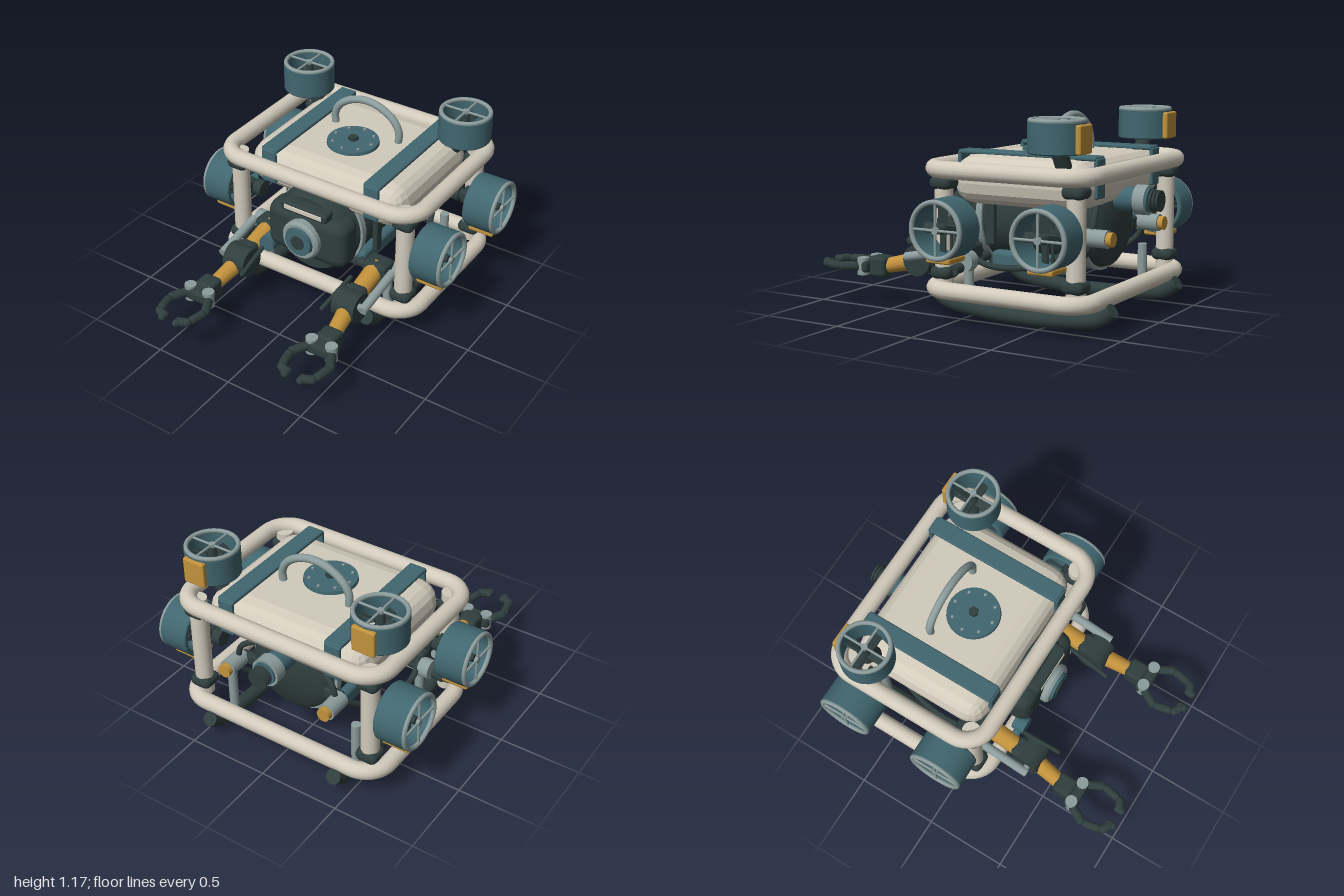
import * as THREE from 'three';
import { toCreasedNormals } from 'three/addons/utils/BufferGeometryUtils.js';
import { RoundedBoxGeometry } from 'three/addons/geometries/RoundedBoxGeometry.js';

const paint = (name, color) => {
  const m = new THREE.MeshStandardMaterial({ color });
  m.name = name;
  return m;
};
const V = (x, y, z) => new THREE.Vector3(x, y, z);

export function createModel() {
  const cream = paint('cream', 0xd2cbbc);
  const teal = paint('teal', 0x41666f);
  const dark = paint('dark', 0x303e3e);
  const grey = paint('grey', 0x8b9b9b);
  const amber = paint('amber', 0xc2923c);

  const model = new THREE.Group();
  model.name = 'underwaterVehicle';

  const add = (parent, name, geo, mat, x = 0, y = 0, z = 0) => {
    const m = new THREE.Mesh(geo, mat);
    m.name = name;
    m.position.set(x, y, z);
    parent.add(m);
    return m;
  };
  const group = (name) => {
    const g = new THREE.Group();
    g.name = name;
    model.add(g);
    return g;
  };
  const box = (p, name, mat, w, h, d, x, y, z, r = 0.015) =>
    add(p, name, new RoundedBoxGeometry(w, h, d, 2, r), mat, x, y, z);
  // straight round bar between two points; the radius may taper
  const align = (m, a, b) => {
    m.position.copy(a).add(b).multiplyScalar(0.5);
    m.quaternion.setFromUnitVectors(V(0, 1, 0), b.clone().sub(a).normalize());
    return m;
  };
  const rod = (p, name, mat, a, b, r, r2 = r, sides = 24) =>
    align(add(p, name, new THREE.CylinderGeometry(r2, r, a.distanceTo(b), sides), mat), a, b);
  const capsule = (p, name, mat, a, b, r) =>
    align(add(p, name, new THREE.CapsuleGeometry(r, a.distanceTo(b), 5, 12), mat), a, b);
  const tube = (p, name, mat, pts, r, closed = false, seg = 48) =>
    add(p, name, new THREE.TubeGeometry(new THREE.CatmullRomCurve3(pts, closed), seg, r, 14, closed), mat);
  const lathe = (pts, seg = 40) => toCreasedNormals(
    new THREE.LatheGeometry(pts.map(([r, y]) => new THREE.Vector2(r, y)), seg), 0.6);

  // Tubular frame: two rounded loops joined by four posts
  const frame = group('frame');
  const loop = new THREE.Shape();
  const hx = 0.66, z0 = -0.85, z1 = 0.14, cr = 0.15;
  loop.absarc(hx - cr, z1 - cr, cr, 0, Math.PI / 2);
  loop.absarc(-hx + cr, z1 - cr, cr, Math.PI / 2, Math.PI);
  loop.absarc(-hx + cr, z0 + cr, cr, Math.PI, Math.PI * 1.5);
  loop.absarc(hx - cr, z0 + cr, cr, Math.PI * 1.5, Math.PI * 2);
  loop.closePath();
  const loopPts = loop.getSpacedPoints(120).slice(0, -1);
  for (const [name, y] of [['upperRail', 0.87], ['lowerRail', 0.195]])
    tube(frame, name, cream, loopPts.map((p) => V(p.x, y, p.y)), 0.05, true, 180);
  for (const s of [-1, 1]) for (const z of [0.06, -0.77]) {
    rod(frame, 'post', cream, V(s * 0.58, 0.2, z), V(s * 0.58, 0.87, z), 0.053);
    for (const y of [0.285, 0.79])
      box(frame, 'postClamp', dark, 0.135, 0.075, 0.135, s * 0.58, y, z, 0.035);
  }

  // Curved skids with short struts
  for (const s of [-1, 1]) {
    const pts = [[0.23, 0.15], [0.14, 0.09], [-0.08, 0.056], [-0.35, 0.046],
      [-0.62, 0.056], [-0.84, 0.09], [-0.92, 0.145]].map(([z, y]) => V(s * 0.435, y, z));
    tube(frame, 'skid', dark, pts, 0.045);
    rod(frame, 'skidEnd', dark, pts[1], pts[0], 0.0445);
    rod(frame, 'skidEnd', dark, pts[5], pts[6], 0.0445);
    for (const z of [-0.01, -0.69])
      rod(frame, 'skidStrut', grey, V(s * 0.435, 0.07, z), V(s * 0.435, 0.36, z), 0.028);
    rod(frame, 'crossBar', dark, V(s * 0.24, 0.33, -0.01), V(s * 0.6, 0.3, -0.01), 0.03);
  }

  // Buoyancy block with faceted edges, straps, hatch and handle
  const float = group('float');
  const block = new RoundedBoxGeometry(1.07, 0.28, 0.86, 2, 0.125);
  block.computeVertexNormals();
  add(float, 'floatBlock', block, cream, 0, 0.8, -0.36);
  for (const s of [-1, 1]) {
    box(float, 'strapTop', teal, 0.11, 0.025, 0.87, s * 0.355, 0.948, -0.36, 0.01);
    for (const z of [0.072, -0.792])
      box(float, 'strapEnd', teal, 0.1, 0.22, 0.025, s * 0.355, 0.84, z, 0.01);
  }
  add(float, 'hatch', new THREE.CylinderGeometry(0.155, 0.16, 0.03, 40), teal, 0, 0.945, -0.29);
  add(float, 'hatchBolt', new THREE.CylinderGeometry(0.03, 0.03, 0.03, 6), dark, 0, 0.965, -0.29);
  for (let i = 0; i < 8; i++) {
    const a = (i / 8) * Math.PI * 2;
    add(float, 'hatchScrew', new THREE.CylinderGeometry(0.009, 0.009, 0.012, 8), grey,
      Math.cos(a) * 0.125, 0.963, -0.29 + Math.sin(a) * 0.125);
  }
  tube(float, 'liftHandle', grey, [[-0.22, 0.92], [-0.225, 1.0], [-0.19, 1.07], [-0.1, 1.13], [0, 1.15],
    [0.1, 1.13], [0.19, 1.07], [0.225, 1.0], [0.22, 0.92]].map(([x, y]) => V(x, y, -0.44)), 0.023);

  // Pressure hull
  const hull = group('pressureHull');
  const body = add(hull, 'hullCylinder', lathe([[0, -0.74], [0.2, -0.73], [0.255, -0.69], [0.27, -0.64],
    [0.27, 0.13], [0.24, 0.18], [0, 0.18]]), dark, 0, 0.555, 0);
  body.rotation.x = Math.PI / 2;
  for (const z of [0.02, -0.63])
    rod(hull, 'hullBand', grey, V(0, 0.555, z - 0.02), V(0, 0.555, z + 0.02), 0.285, 0.285, 48);
  box(hull, 'batteryTray', teal, 0.5, 0.11, 0.52, 0, 0.31, -0.3, 0.03);
  for (const s of [-1, 1]) {
    box(hull, 'trayLatch', dark, 0.12, 0.05, 0.05, s * 0.18, 0.3, -0.04);
    box(hull, 'hullBracket', dark, 0.035, 0.3, 0.06, s * 0.31, 0.56, -0.08, 0.01);
    rod(hull, 'rearPlug', grey, V(s * 0.34, 0.51, -0.7), V(s * 0.34, 0.51, -0.84), 0.05);
    rod(hull, 'rearPlugCap', amber, V(s * 0.34, 0.51, -0.83), V(s * 0.34, 0.51, -0.872), 0.04);
    box(hull, 'plugBracket', dark, 0.12, 0.07, 0.05, s * 0.29, 0.51, -0.69);
    tube(hull, 'sideHose', dark, [V(s * 0.42, 0.4, 0.02), V(s * 0.46, 0.33, -0.12), V(s * 0.46, 0.32, -0.32),
      V(s * 0.42, 0.37, -0.52), V(s * 0.36, 0.5, -0.7)], 0.018);
    tube(hull, 'rearHose', dark, [V(s * 0.2, 0.68, -0.7), V(s * 0.31, 0.62, -0.74),
      V(s * 0.33, 0.45, -0.72), V(s * 0.26, 0.33, -0.6)], 0.017);
  }
  // Tether connector
  rod(hull, 'tetherBase', teal, V(0, 0.69, -0.68), V(0, 0.69, -0.87), 0.07);
  rod(hull, 'tetherSocket', grey, V(0, 0.69, -0.855), V(0, 0.69, -0.925), 0.085);
  rod(hull, 'tetherCollar', teal, V(0, 0.69, -0.92), V(0, 0.69, -0.936), 0.07);
  rod(hull, 'tetherCore', dark, V(0, 0.69, -0.93), V(0, 0.69, -0.995), 0.045);
  for (const z of [-0.95, -0.97, -0.99])
    rod(hull, 'tetherRing', dark, V(0, 0.69, z - 0.006), V(0, 0.69, z + 0.006), 0.06);

  // Camera pod
  const pod = group('cameraPod');
  box(pod, 'podBody', dark, 0.55, 0.32, 0.2, 0, 0.555, 0.14, 0.075);
  const lens = add(pod, 'lensBezel', lathe([[0, 0], [0.125, 0], [0.125, 0.045], [0.112, 0.06],
    [0.095, 0.06], [0.09, 0.03], [0, 0.03]]), grey, 0, 0.555, 0.225);
  lens.rotation.x = Math.PI / 2;
  rod(pod, 'lensRing', teal, V(0, 0.555, 0.24), V(0, 0.555, 0.3), 0.093, 0.088, 40);
  rod(pod, 'lensGlass', dark, V(0, 0.555, 0.29), V(0, 0.555, 0.308), 0.045);
  box(pod, 'podLampHousing', dark, 0.32, 0.065, 0.09, 0, 0.735, 0.2, 0.02);
  box(pod, 'podLamp', cream, 0.26, 0.03, 0.01, 0, 0.736, 0.244, 0.004);

  // Thruster built along +y, with the guard at the top and the pad towards +x
  const thruster = (name, scale) => {
    const g = group(name);
    g.scale.setScalar(scale);
    add(g, 'duct', lathe([[0.142, -0.095], [0.16, -0.095], [0.166, -0.088], [0.166, 0.08], [0.156, 0.09],
      [0.142, 0.09], [0.135, 0.0], [0.142, -0.095]]), teal);
    const lip = (y) => {
      add(g, 'ductLip', new THREE.TorusGeometry(0.152, 0.014, 10, 40), grey, 0, y, 0).rotation.x = Math.PI / 2;
    };
    lip(0.088);
    for (let i = 0; i < 4; i++) {
      const a = (i * Math.PI) / 2, c = Math.cos(a), d = Math.sin(a);
      rod(g, 'guardSpoke', grey, V(0, 0.088, 0), V(c * 0.15, 0.088, d * 0.15), 0.008, 0.008, 8);
      rod(g, 'statorSpoke', dark, V(0, -0.07, 0), V(c * 0.142, -0.07, d * 0.142), 0.01, 0.01, 8);
      const blade = add(g, 'blade', new THREE.BoxGeometry(0.1, 0.01, 0.055), dark, c * 0.075, 0.01, d * 0.075);
      blade.rotation.set(0.5, -a, 0, 'YXZ');
    }
    add(g, 'guardHub', new THREE.CylinderGeometry(0.02, 0.02, 0.02, 16), grey, 0, 0.088, 0);
    add(g, 'propHub', new THREE.CylinderGeometry(0.022, 0.042, 0.15, 20), dark, 0, -0.005, 0);
    box(g, 'bumperPad', amber, 0.035, 0.165, 0.15, 0.165, -0.01, 0, 0.012);
    return g;
  };
  for (const s of [-1, 1]) {
    for (const z of [-0.045, -0.677]) {
      const t = thruster('sideThruster', 1.02);
      t.position.set(s * 0.738, 0.56, z);
      t.rotation.set(0, s < 0 ? Math.PI : 0, -Math.PI / 2);
      rod(t, 'motor', dark, V(0, -0.06, 0), V(0, -0.2, 0), 0.035);
      rod(t, 'motorCap', dark, V(0, -0.19, 0), V(0, -0.245, 0), 0.05);
      box(model, 'thrusterBracket', dark, 0.09, 0.09, 0.15, s * 0.6, 0.56, z < -0.3 ? -0.71 : 0, 0.02);
    }
    const v = thruster('liftThruster', 0.955);
    v.position.set(s * 0.555, 1.076, -0.64);
    v.rotation.y = Math.PI / 2;
    rod(model, 'liftThrusterStrut', dark, V(s * 0.47, 0.86, -0.65), V(s * 0.55, 1.02, -0.64), 0.045);
  }

  // Manipulator arms, drawn for one side and mirrored by the sign of x
  for (const s of [-1, 1]) {
    const arm = group(s > 0 ? 'leftArm' : 'rightArm');
    const P = (x, y, z) => V(s * x, y, z);
    box(arm, 'shoulder', dark, 0.16, 0.14, 0.13, s * 0.39, 0.36, 0.03, 0.03);
    rod(arm, 'upperArm', amber, P(0.385, 0.375, 0.03), P(0.39, 0.305, 0.33), 0.06, 0.055, 12);
    rod(arm, 'elbow', dark, P(0.315, 0.3, 0.335), P(0.465, 0.3, 0.335), 0.092);
    box(arm, 'elbowBlock', dark, 0.13, 0.13, 0.16, s * 0.39, 0.32, 0.31, 0.03);
    rod(arm, 'forearm', amber, P(0.395, 0.29, 0.36), P(0.425, 0.24, 0.58), 0.055, 0.045, 12);
    rod(arm, 'ram', grey, P(0.5, 0.39, 0.05), P(0.5, 0.325, 0.38), 0.027);
    rod(arm, 'ramPivot', grey, P(0.44, 0.33, 0.36), P(0.51, 0.33, 0.36), 0.02);
    rod(arm, 'ramBase', grey, P(0.46, 0.34, -0.03), P(0.53, 0.34, -0.03), 0.06);
    capsule(arm, 'armHose', dark, P(0.305, 0.37, 0.2), P(0.285, 0.31, 0.47), 0.014);
    box(arm, 'wrist', dark, 0.125, 0.125, 0.12, s * 0.43, 0.238, 0.61, 0.025);
    box(arm, 'palm', dark, 0.2, 0.08, 0.085, s * 0.433, 0.24, 0.69, 0.025);
    for (const f of [-1, 1]) {
      const F = (x, z) => P(0.433 + f * x, 0.24, z);
      const k = F(0.066, 0.692);
      rod(arm, 'fingerPivot', grey, V(k.x, 0.19, k.z), V(k.x, 0.292, k.z), 0.036);
      capsule(arm, 'fingerBase', dark, F(0.085, 0.72), F(0.125, 0.795), 0.028);
      capsule(arm, 'fingerMiddle', dark, F(0.126, 0.83), F(0.112, 0.9), 0.026);
      capsule(arm, 'fingerTip', dark, F(0.1, 0.935), F(0.066, 0.953), 0.027);
      capsule(arm, 'fingerPad', dark, F(0.052, 0.948), F(0.052, 0.974), 0.024);
    }
  }
  // Sampling sensor beside the right arm
  rod(model, 'sensorHead', teal, V(-0.27, 0.4, 0.16), V(-0.27, 0.4, 0.24), 0.052);
  rod(model, 'sensorStalk', teal, V(-0.27, 0.4, 0.2), V(-0.34, 0.34, 0.2), 0.025);

  return model;
}
